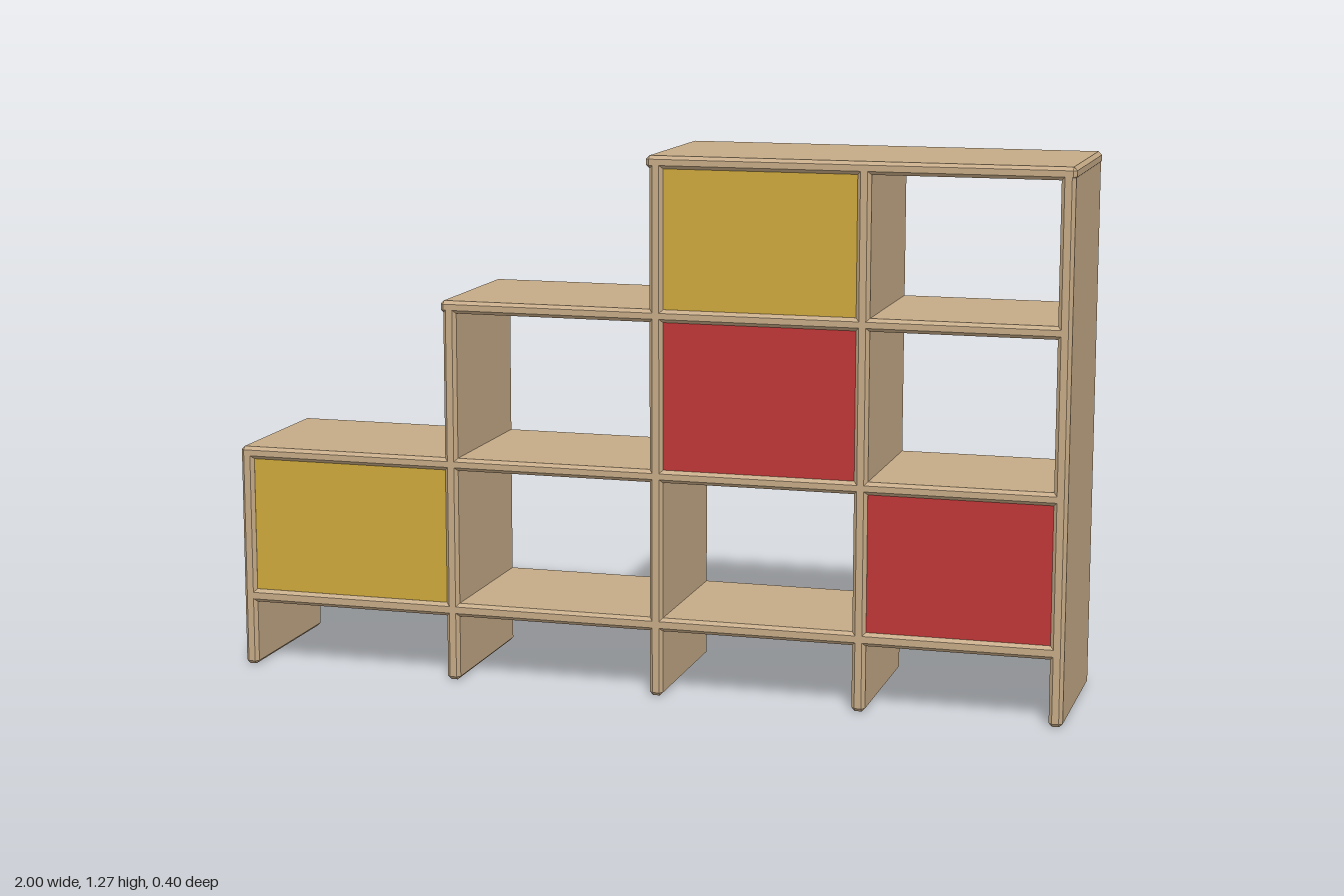
import * as THREE from 'three';
import { ConvexGeometry } from 'three/addons/geometries/ConvexGeometry.js';

const wood = new THREE.MeshStandardMaterial({ color: 0xc4a985 });
wood.name = 'wood';
const yellow = new THREE.MeshStandardMaterial({ color: 0xcca73b });
yellow.name = 'yellow door';
const red = new THREE.MeshStandardMaterial({ color: 0xbf3535 });
red.name = 'red door';

const DEPTH = 0.4;
const BEVEL = 0.008;

// Board spanning x0..x1, y0..y1 and the full depth, with chamfered edges
function board(name, x0, x1, y0, y1) {
  const half = [(x1 - x0) / 2, (y1 - y0) / 2, DEPTH / 2];
  const points = [];
  for (const sx of [-1, 1]) for (const sy of [-1, 1]) for (const sz of [-1, 1]) {
    for (let axis = 0; axis < 3; axis++) {
      const s = [sx, sy, sz];
      const p = half.map((h, i) => s[i] * (i === axis ? h : h - BEVEL));
      points.push(new THREE.Vector3(...p));
    }
  }
  const mesh = new THREE.Mesh(new ConvexGeometry(points), wood);
  mesh.name = name;
  mesh.position.set((x0 + x1) / 2, (y0 + y1) / 2, 0);
  return mesh;
}

export function createModel() {
  const group = new THREE.Group();
  group.name = 'steppedShelf';

  // Upright panels: left edge, right edge, top
  const uprights = [
    [-1, -0.968, 0.53],
    [-0.478, -0.446, 0.905],
    [0.026, 0.058, 1.257],
    [0.51, 0.542, 1.257],
    [0.966, 0.998, 1.257],
  ];
  uprights.forEach(([x0, x1, top], i) => group.add(board(`upright${i + 1}`, x0, x1, 0, top)));

  // Shelves: left end, right end, bottom, top
  const shelves = [
    [-0.99, 0.99, 0.156, 0.188],
    [-1, 0.99, 0.51, 0.54],
    [-0.484, 0.99, 0.885, 0.915],
    [0.018, 1, 1.238, 1.268],
  ];
  shelves.forEach(([x0, x1, y0, y1], i) => group.add(board(`shelf${i + 1}`, x0, x1, y0, y1)));

  // Doors set just behind the front edge: column, row, colour
  const doors = [
    [0, 0, yellow],
    [3, 0, red],
    [2, 1, red],
    [2, 2, yellow],
  ];
  for (const [col, row, material] of doors) {
    const x0 = uprights[col][1], x1 = uprights[col + 1][0];
    const y0 = shelves[row][3], y1 = shelves[row + 1][2];
    const door = new THREE.Mesh(new THREE.BoxGeometry(x1 - x0, y1 - y0, 0.009), material);
    door.name = `door${col + 1}${row + 1}`;
    door.position.set((x0 + x1) / 2, (y0 + y1) / 2, 0.187);
    group.add(door);
  }
  return group;
}
